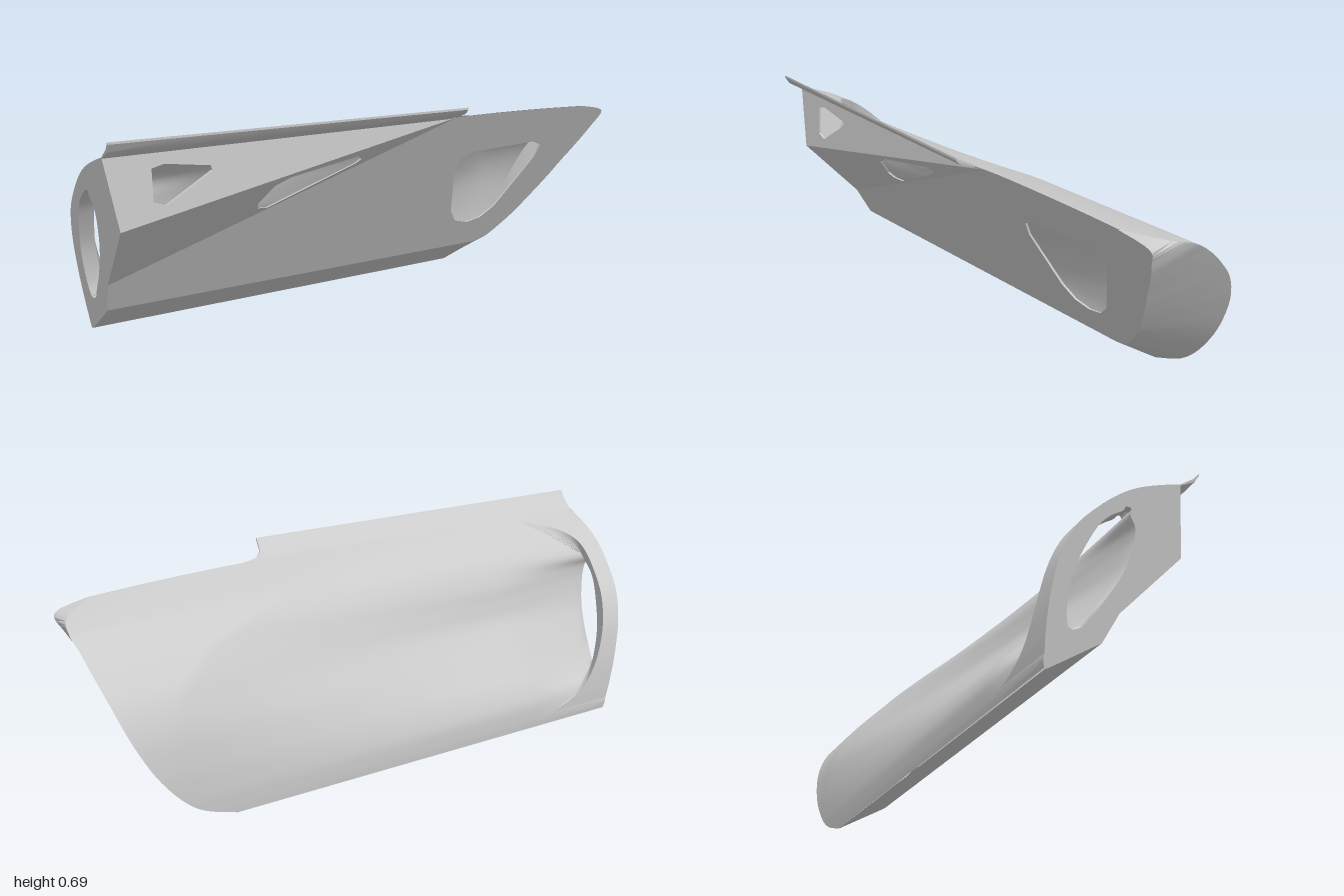
import * as THREE from 'three';
import { toCreasedNormals } from 'three/addons/utils/BufferGeometryUtils.js';

const material = new THREE.MeshStandardMaterial({ color: 0xcccccc, side: THREE.DoubleSide });
const spline = pts => new THREE.SplineCurve(pts.map(p => new THREE.Vector2(p[0], p[1])));
const clamp = v => THREE.MathUtils.clamp(v, 0, 1);
const frontZ = y => 0.87 + 0.19 * y; // raked front end

// Full outer profile (bottom edge to top edge), in x and y
const skin = spline([[-0.268, 0], [-0.27, 0.04], [-0.271, 0.1], [-0.266, 0.2], [-0.245, 0.32], [-0.2, 0.42],
  [-0.125, 0.5], [-0.06, 0.552], [0, 0.586], [0.07, 0.613], [0.135, 0.633]]);
// Dished profile behind the front opening
const dished = spline([[-0.268, 0], [-0.27, 0.04], [-0.264, 0.1], [-0.23, 0.165], [-0.172, 0.23], [-0.085, 0.335],
  [-0.06, 0.4], [-0.042, 0.465], [0, 0.535], [0.072, 0.598], [0.135, 0.633]]);
// Profile along the inner side of the front opening
const pushed = spline([[-0.268, 0], [-0.27, 0.04], [-0.24, 0.11], [-0.19, 0.122], [-0.145, 0.155], [-0.05, 0.3],
  [-0.015, 0.4], [-0.01, 0.46], [-0.025, 0.51], [0.07, 0.602], [0.135, 0.633]]);
// Outer side of the front opening
const openingOuter = spline([[-0.205, 0.128], [-0.212, 0.17], [-0.208, 0.24], [-0.19, 0.315], [-0.14, 0.42],
  [-0.1, 0.47], [-0.055, 0.5], [-0.045, 0.515], [-0.03, 0.516]]);
// Where the dish starts along each profile point (z)
const dishStart = spline([-0.75, -0.75, -0.75, -0.75, -0.75, -0.73, -0.6, -0.42, -0.28, -0.15, -0.1].map(z => [z, 0]));
// Rear trim of the skin (z) and of the inner panel (z, y)
const rearTrim = spline([-0.6, -0.71, -0.785, -0.86, -0.92, -0.955, -0.978, -0.99, -0.998, -0.975, -0.88].map(z => [z, 0]));
const panelTrim = spline([[-0.6, 0.105], [-0.65, 0.12], [-0.7, 0.16], [-0.75, 0.21], [-0.8, 0.275], [-0.85, 0.345],
  [-0.89, 0.41], [-0.93, 0.47], [-0.97, 0.54], [-0.99, 0.6], [-0.88, 0.626]]);

// Point on the outer skin; the top edge drifts sideways along the length
function skinPoint(u, z, dish, push) {
  const p = skin.getPoint(u).lerp(dished.getPoint(u), dish).lerp(pushed.getPoint(u), push);
  const m = clamp(u * 5 - 4);
  const rear = clamp((-0.28 - z) / 0.72);
  const s = clamp((1 - z) / 1.25);
  return [p.x + m * (0.045 * s - 0.012 * rear), p.y + m * (0.007 * s - 0.02 * rear * rear), z];
}

function mesh(name, geometry, crease = 0.6) {
  const m = new THREE.Mesh(toCreasedNormals(geometry, crease), material);
  m.name = name;
  return m;
}

// Surface through rows of points
function loft(name, rows, crease) {
  const n = rows[0].length, index = [];
  for (let i = 0; i < rows.length - 1; i++) {
    for (let j = 0; j < n - 1; j++) {
      const a = i * n + j, c = a + n;
      index.push(a, a + 1, c, a + 1, c + 1, c);
    }
  }
  const g = new THREE.BufferGeometry();
  g.setAttribute('position', new THREE.Float32BufferAttribute(rows.flat(2), 3));
  g.setIndex(index);
  g.computeVertexNormals();
  return mesh(name, g, crease);
}

// Flat panel through three points, outlined in (z, y), with a rimmed window
function panel(name, anchors, outline, window) {
  const plane = new THREE.Plane().setFromCoplanarPoints(...anchors.map(a => new THREE.Vector3(...a)));
  const { normal: k, constant } = plane;
  const xAt = (z, y) => -(constant + k.y * y + k.z * z) / k.x;
  const toShape = pts => pts.map(([z, y]) => new THREE.Vector2(-z, y));
  const shape = new THREE.Shape(toShape(outline));
  const closed = [...window, window[0]];
  shape.holes.push(new THREE.Path(toShape(window)));
  const g = new THREE.ShapeGeometry(shape);
  const pos = g.attributes.position;
  for (let i = 0; i < pos.count; i++) {
    const z = -pos.getX(i), y = pos.getY(i);
    pos.setXYZ(i, xAt(z, y), y, z);
  }
  g.computeVertexNormals();
  const group = new THREE.Group();
  group.name = name;
  const rim = [0, 0.008].map(d => closed.map(([z, y]) => [xAt(z, y) - d, y, z]));
  group.add(mesh(name + 'Face', g), loft(name + 'WindowRim', rim));
  return group;
}

export function createModel() {
  const model = new THREE.Group();
  const N = 50, M = 60;
  const us = Array.from({ length: N + 1 }, (_, i) => i / N);

  // Outer skin: full at the rear, dished along its length, sinking into the front opening
  const skinRows = [];
  for (let i = 0; i <= M; i++) {
    skinRows.push(us.map(u => {
      const z0 = frontZ(skin.getPoint(u).y);
      const z1 = rearTrim.getPoint(u).x;
      const z = z0 + (z1 - z0) * (i / M);
      const start = dishStart.getPoint(u).x;
      const dish = 1 - (1 - clamp((z - start) / (0.55 - start))) ** 1.4;
      const p = skinPoint(u, z, dish, clamp((z - 0.55) / (z0 - 0.55)));
      if (i === 0) p[2] = frontZ(p[1]);
      return p;
    }));
  }
  model.add(loft('outerSkin', skinRows, 1));

  // Front face with its opening
  const face = new THREE.Shape([
    ...us.map(u => skin.getPoint(u)),
    ...[[0.15, 0.41], [-0.045, 0.2], [-0.095, 0.105], [-0.258, 0]].map(p => new THREE.Vector2(...p)),
  ]);
  const inner = us.filter(u => u >= 0.3 && u <= 0.8).map(u => pushed.getPoint(u));
  face.holes.push(new THREE.Path([...openingOuter.getPoints(30), ...inner.reverse()]));
  const faceGeometry = new THREE.ShapeGeometry(face);
  const fp = faceGeometry.attributes.position;
  for (let i = 0; i < fp.count; i++) fp.setZ(i, frontZ(fp.getY(i)));
  faceGeometry.computeVertexNormals();
  model.add(mesh('frontFace', faceGeometry));

  // Hoop bridging over the front opening, reaching further back at both ends
  const hoop = [[], [], [], []];
  for (let i = 0; i <= 40; i++) {
    const t = i / 40;
    const o = skin.getPoint(0.1 + 0.85 * t), q = openingOuter.getPoint(t);
    const depth = 0.07 + 0.18 * (2 * t - 1) ** 4;
    hoop[0].push([o.x, o.y, frontZ(o.y)]);
    hoop[1].push([o.x, o.y, frontZ(o.y) - depth]);
    hoop[2].push([q.x, q.y, frontZ(q.y) - 0.05]);
    hoop[3].push([q.x, q.y, frontZ(q.y)]);
  }
  model.add(loft('frontHoop', hoop));

  // Lower band, turning up around the rear end
  const rim = [[-0.262, 0, 0.87], ...us.map(u => skinPoint(u, rearTrim.getPoint(u).x, 0, 0))];
  const trim = us.map(u => panelTrim.getPoint(u));
  const bandInner = [[-0.095, 0.105, 0.89],
    ...trim.map(p => [-0.095 + (p.y - 0.105) * 0.515, p.y, p.x])];
  model.add(loft('lowerBand', [rim, bandInner], 0.8));

  // Inner panels, folded along two lines that meet near the rear of the flange
  const low = [-0.046, 0.2, 0.908], mid = [0.15, 0.41, 0.948], top = [0.135, 0.632, 0.99], tip = [0.181, 0.64, -0.28];
  const zy = p => [p[2], p[1]];
  const topEdge = [0.6, 0.4, 0.2].map(k => [-0.28 - 0.72 * k, 0.64 - 0.02 * k * k]);
  model.add(panel('mainPanel', [[-0.095, 0.105, 0.89], [-0.095, 0.105, -0.6], tip],
    [[0.89, 0.105], ...trim.map(p => [p.x, p.y]), ...topEdge, zy(tip), zy(low)],
    [[-0.36, 0.43], [-0.37, 0.475], [-0.42, 0.496], [-0.7, 0.505], [-0.74, 0.49], [-0.735, 0.44], [-0.63, 0.25],
      [-0.58, 0.21], [-0.52, 0.2], [-0.46, 0.215], [-0.42, 0.26]]));
  model.add(panel('middlePanel', [low, mid, tip], [low, tip, mid].map(zy),
    [[0.45, 0.42], [0.44, 0.4], [0.4, 0.395], [0.1, 0.515], [0.085, 0.53], [0.1, 0.545], [0.37, 0.505], [0.42, 0.48]]));
  model.add(panel('upperPanel', [mid, top, tip], [mid, tip, top].map(zy),
    [[0.84, 0.585], [0.8, 0.595], [0.65, 0.575], [0.645, 0.56], [0.8, 0.472], [0.84, 0.485]]));

  // Flange along the top, widening rearwards and rounded off at its end
  const section = (s, z, w) => {
    const x0 = 0.135 + 0.045 * s, y0 = 0.633 + 0.007 * s;
    const pts = [[0, 0], [0.045 + 0.025 * s, 0.03 - 0.005 * s], [0.065 + 0.025 * s, 0.053 - 0.008 * s],
      [0.065 + 0.025 * s, 0.046 - 0.008 * s], [0.05 + 0.025 * s, 0.022], [0, -0.004], [0, 0]];
    return pts.map(([dx, dy]) => {
      const y = y0 + dy * w;
      return [x0 + dx * w, y, z === undefined ? THREE.MathUtils.lerp(frontZ(y), -0.25, s) : z];
    });
  };
  const flangeRows = [0, 0.25, 0.5, 0.75, 1].map(s => section(s, undefined, 1));
  flangeRows.unshift(flangeRows[0].map(() => flangeRows[0][1]));
  flangeRows.push(section(1, -0.265, 0.4), section(1, -0.29, 0.12), section(1, -0.34, 0));
  model.add(loft('topFlange', flangeRows, 0.5));

  return model;
}
